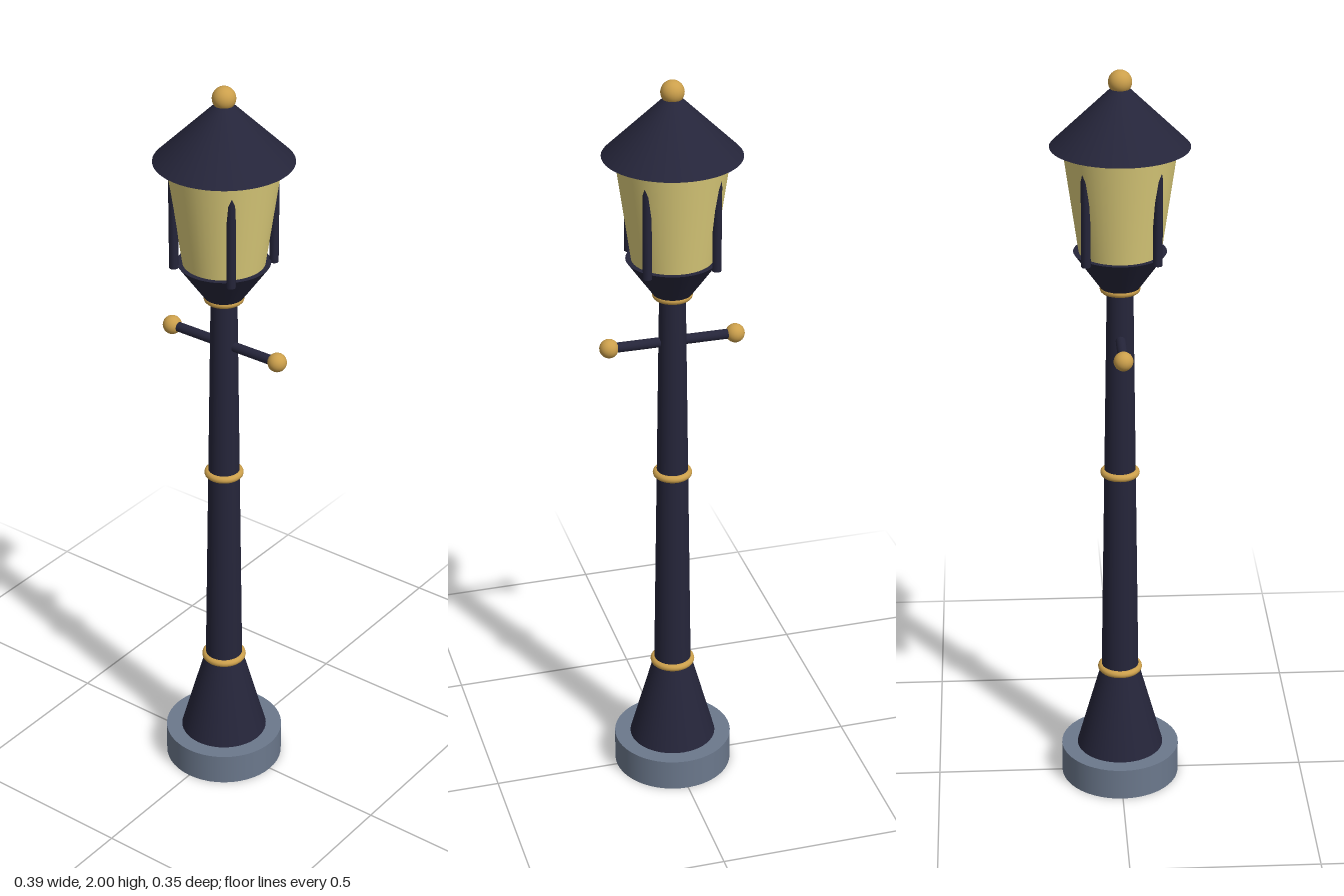
import * as THREE from 'three';

export function createModel() {
  const model = new THREE.Group();
  model.name = 'streetLamp';

  const material = (name, color) => {
    const m = new THREE.MeshStandardMaterial({ color });
    m.name = name;
    return m;
  };
  const iron = material('dark iron', 0x25253a);
  const brass = material('brass', 0xcca04c);
  const stone = material('stone', 0x6b788c);
  const glass = material('warm glass', 0xdccc7a);

  const add = (name, geometry, mat, x = 0, y = 0, z = 0) => {
    const mesh = new THREE.Mesh(geometry, mat);
    mesh.name = name;
    mesh.position.set(x, y, z);
    model.add(mesh);
    return mesh;
  };
  // Upright round section between two heights
  const taper = (name, mat, y0, y1, r0, r1, sides = 48) =>
    add(name, new THREE.CylinderGeometry(r1, r0, y1 - y0, sides), mat, 0, (y0 + y1) / 2, 0);

  // Base and post
  taper('plinth', stone, 0, 0.088, 0.16, 0.16);
  taper('skirt', iron, 0.088, 0.325, 0.117, 0.052);
  taper('post', iron, 0.32, 1.43, 0.05, 0.034);

  // Brass collars
  for (const [name, y, r] of [['lowerCollar', 0.325, 0.05], ['middleCollar', 0.91, 0.042], ['upperCollar', 1.427, 0.042]]) {
    add(name, new THREE.TorusGeometry(r, 0.01, 12, 40), brass, 0, y, 0).rotation.x = Math.PI / 2;
  }

  // Ladder bar with ball ends
  add('ladderBar', new THREE.CylinderGeometry(0.013, 0.013, 0.34, 16), iron, 0, 1.295, 0).rotation.z = Math.PI / 2;
  for (const side of [-1, 1]) {
    add(side > 0 ? 'leftBarBall' : 'rightBarBall', new THREE.SphereGeometry(0.025, 20, 14), brass, side * 0.168, 1.295, 0);
  }

  // Lantern
  taper('lanternCup', iron, 1.425, 1.528, 0.046, 0.119);
  taper('lanternGlass', glass, 1.528, 1.806, 0.105, 0.145);
  taper('lanternRoof', iron, 1.805, 1.957, 0.177, 0.02);
  add('finial', new THREE.SphereGeometry(0.03, 24, 16), brass, 0, 1.97, 0);

  // Upright struts on the diagonals
  for (let i = 0; i < 4; i++) {
    const a = Math.PI / 4 + i * Math.PI / 2;
    add('lanternStrut' + (i + 1), new THREE.CylinderGeometry(0.012, 0.012, 0.28, 8), iron,
      Math.cos(a) * 0.127, 1.66, Math.sin(a) * 0.127);
  }
  return model;
}
